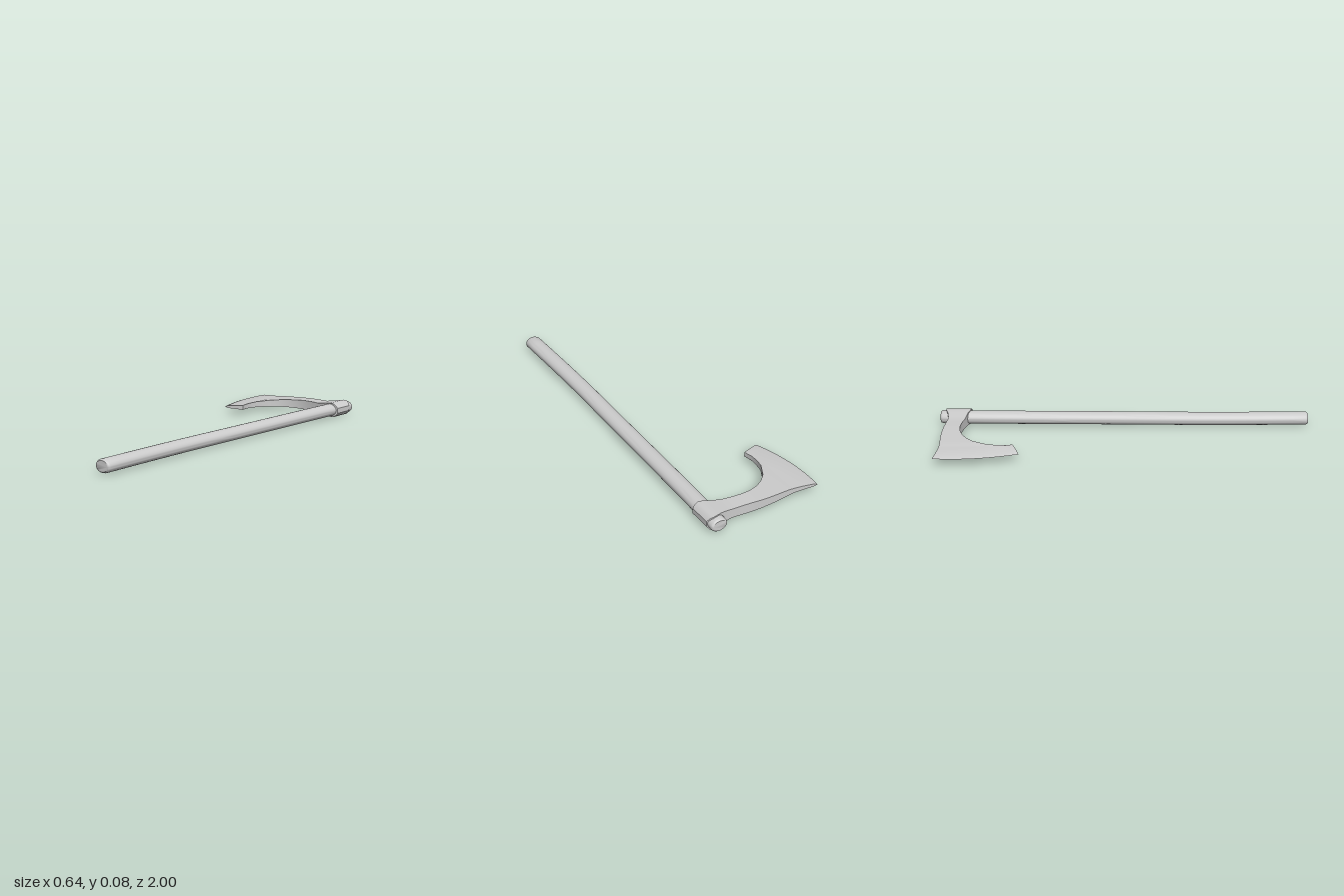
import * as THREE from 'three';
import { toCreasedNormals } from 'three/addons/utils/BufferGeometryUtils.js';

const MID_Y = 0.04; // the axe lies flat, symmetric about this height

// Skin a list of closed rings, with optional flat ends.
function loft(rings, capStart, capEnd, crease) {
  const n = rings[0].length;
  const index = [];
  for (let i = 0; i < rings.length - 1; i++) {
    for (let j = 0; j < n; j++) {
      const k = (j + 1) % n;
      const a = i * n + j, b = i * n + k, c = b + n, d = a + n;
      index.push(a, b, c, a, c, d);
    }
  }
  const last = (rings.length - 1) * n;
  for (let j = 1; j < n - 1; j++) {
    if (capStart) index.push(0, j + 1, j);
    if (capEnd) index.push(last, last + j, last + j + 1);
  }
  const geometry = new THREE.BufferGeometry();
  geometry.setAttribute('position', new THREE.Float32BufferAttribute(rings.flat(2), 3));
  geometry.setIndex(index);
  return toCreasedNormals(geometry, crease);
}

// Gently curved oval shaft with rounded-over ends.
function handleGeometry() {
  const curve = new THREE.CatmullRomCurve3([
    [0.272, -1], [0.265, -0.8], [0.259, -0.55], [0.249, 0], [0.241, 0.4], [0.241, 0.7], [0.245, 1],
  ].map(([x, z]) => new THREE.Vector3(x, 0, z)));
  const stations = [[0, 0.8], [0.002, 0.92], [0.006, 1]];
  for (let i = 1; i < 24; i++) stations.push([i / 24, 1]);
  stations.push([0.994, 1], [0.998, 0.92], [1, 0.8]);
  const rings = stations.map(([t, s]) => {
    const p = curve.getPointAt(t);
    const ring = [];
    for (let j = 0; j < 28; j++) {
      const a = (j / 28) * Math.PI * 2;
      ring.push([p.x + 0.045 * s * Math.cos(a), MID_Y + 0.034 * s * Math.sin(a), p.z]);
    }
    return ring;
  });
  return loft(rings, true, true, 0.7);
}

// Bearded head: sections from the cutting edge to the poll.
function headGeometry() {
  // back x, back z, beard x, beard z, half thickness, bow of the section
  const sections = [
    [-0.312, -0.973, -0.254, -0.540, 0, 0.026],
    [-0.292, -0.968, -0.236, -0.547, 0.007, 0.025],
    [-0.215, -0.957, -0.153, -0.577, 0.012, 0.012],
    [-0.190, -0.955, -0.164, -0.620, 0.013, 0.005],
    [-0.175, -0.955, -0.164, -0.660, 0.014, 0],
    [-0.160, -0.955, -0.157, -0.714, 0.016, 0],
    [-0.125, -0.957, -0.118, -0.788, 0.018, 0],
    [-0.085, -0.960, -0.080, -0.826, 0.020, 0],
    [-0.037, -0.962, -0.037, -0.852, 0.022, 0],
    [0.015, -0.962, 0.015, -0.868, 0.024, 0],
    [0.063, -0.959, 0.063, -0.873, 0.026, 0],
    [0.120, -0.954, 0.120, -0.868, 0.026, 0],
    [0.170, -0.951, 0.170, -0.859, 0.025, 0],
    [0.200, -0.952, 0.200, -0.854, 0.029, 0],
    [0.240, -0.960, 0.240, -0.848, 0.036, 0],
    [0.270, -0.970, 0.270, -0.838, 0.040, 0],
    [0.290, -0.973, 0.290, -0.833, 0.039, 0],
    [0.307, -0.965, 0.307, -0.834, 0.029, 0],
    [0.319, -0.957, 0.319, -0.838, 0.014, 0],
  ];
  const steps = 8;
  const rings = sections.map(([x0, z0, x1, z1, h, bow]) => {
    const point = (v, y) => [
      x0 + (x1 - x0) * v - bow * 4 * v * (1 - v), MID_Y + y, z0 + (z1 - z0) * v,
    ];
    const ring = [];
    for (let i = 0; i <= steps; i++) ring.push(point(i / steps, h));
    for (let i = steps; i >= 0; i--) ring.push(point(i / steps, -h));
    return ring;
  });
  return loft(rings, false, true, 0.55);
}

export function createModel() {
  const group = new THREE.Group();
  group.name = 'beardedAxe';
  const material = new THREE.MeshStandardMaterial({ color: 0xcccccc });
  const parts = { handle: handleGeometry(), axeHead: headGeometry() };
  for (const [name, geometry] of Object.entries(parts)) {
    const mesh = new THREE.Mesh(geometry, material);
    mesh.name = name;
    group.add(mesh);
  }
  return group;
}
